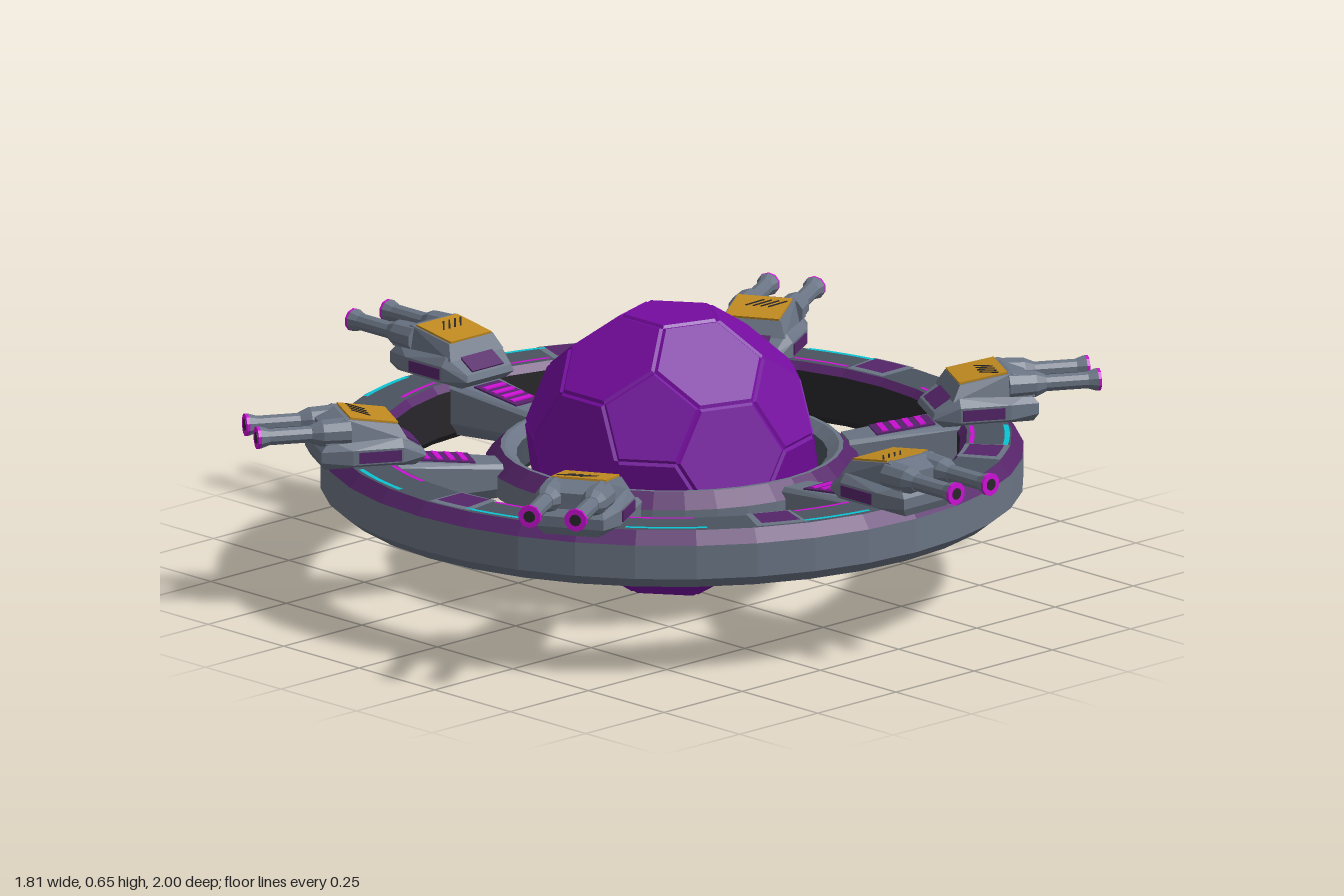
import * as THREE from 'three';
import { ConvexGeometry } from 'three/addons/geometries/ConvexGeometry.js';

const mat = (name, color, side = THREE.FrontSide) => {
  const m = new THREE.MeshStandardMaterial({ color, side });
  m.name = name;
  return m;
};
const V = (x, y, z) => new THREE.Vector3(x, y, z);

export function createModel() {
  const model = new THREE.Group();
  model.name = 'orbitalStation';
  const corePurple = mat('corePurple', 0x750c9f);
  const trimPurple = mat('trimPurple', 0x552469);
  const metal = mat('metalGrey', 0x6a7484);
  const darkMetal = mat('darkMetal', 0x4a535f);
  const black = mat('nearBlack', 0x28262a);
  const orange = mat('warningOrange', 0xc08a20);
  const cyan = mat('cyanLight', 0x08c4d4);
  const magenta = mat('magentaLight', 0xcc10d4);

  const add = (parent, name, geo, material) => {
    const m = new THREE.Mesh(geo, material);
    m.name = name;
    parent.add(m);
    return m;
  };
  const faceted = (geo) => {
    const g = geo.toNonIndexed();
    g.computeVertexNormals();
    return g;
  };
  // Band of a ring: profile runs up outside, inward on top, down inside
  const band = (name, pts, material) =>
    add(model, name, faceted(new THREE.LatheGeometry(pts.map((p) => new THREE.Vector2(...p)), 36)), material);
  const plate = (parent, name, w, h, d, x, y, z, material) => {
    const m = add(parent, name, new THREE.BoxGeometry(w, h, d), material);
    m.position.set(x, y, z);
    return m;
  };
  // Solid block from sections [z, y, halfWidth], mirrored in x
  const block = (parent, name, rows, material) =>
    add(parent, name, new ConvexGeometry(rows.flatMap(([z, y, w]) => [V(w, y, z), V(-w, y, z)])), material);

  // Core: truncated icosahedron with bevelled panels
  const ico = [V(0, 1, 0), V(0, -1, 0)];
  for (let k = 0; k < 5; k++) {
    for (const s of [1, -1]) {
      const a = (k * 2 * Math.PI) / 5 + (s < 0 ? Math.PI / 5 : 0);
      ico.push(V(Math.cos(a) * 2 / Math.sqrt(5), s / Math.sqrt(5), Math.sin(a) * 2 / Math.sqrt(5)));
    }
  }
  const near = (a, b) => a !== b && a.dot(b) > 0.4;
  const cut = (a, b) => a.clone().multiplyScalar(2).add(b).multiplyScalar(0.3984 / 3);
  const panels = ico.map((a) => ico.filter((b) => near(a, b)).map((b) => cut(a, b)));
  ico.forEach((a, i) => ico.forEach((b, j) => ico.forEach((c, k) => {
    if (i < j && j < k && near(a, b) && near(b, c) && near(a, c))
      panels.push([cut(a, b), cut(b, a), cut(b, c), cut(c, b), cut(c, a), cut(a, c)]);
  })));
  const tris = [];
  for (const pts of panels) {
    const c = pts.reduce((s, p) => s.add(p), V(0, 0, 0)).divideScalar(pts.length);
    const n = c.clone().normalize();
    const u = pts[0].clone().sub(c).normalize();
    const v = n.clone().cross(u);
    const angle = (p) => Math.atan2(p.clone().sub(c).dot(v), p.clone().sub(c).dot(u));
    pts.sort((p, q) => angle(p) - angle(q));
    const top = pts.map((p) => c.clone().lerp(p, 0.93));
    const low = pts.map((p) => p.clone().multiplyScalar(0.98));
    pts.forEach((_, i) => {
      const j = (i + 1) % pts.length;
      tris.push(c, top[i], top[j], low[i], low[j], top[j], low[i], top[j], top[i]);
    });
  }
  const coreGeo = new THREE.BufferGeometry().setFromPoints(tris);
  coreGeo.computeVertexNormals();
  add(model, 'core', coreGeo, corePurple).position.y = 0.325;

  // Outer ring
  band('outerRingWall', [[0.775, 0.217], [0.81, 0.245], [0.81, 0.325]], metal);
  band('outerRingTrim', [[0.81, 0.325], [0.783, 0.355]], trimPurple);
  band('outerRingDeck', [[0.783, 0.355], [0.68, 0.355]], darkMetal);
  band('outerRingInnerTrim', [[0.68, 0.355], [0.664, 0.338]], trimPurple);
  band('outerRingInnerWall', [[0.664, 0.338], [0.664, 0.235], [0.68, 0.217]], black);
  band('outerRingUnderside', [[0.68, 0.217], [0.775, 0.217]], darkMetal);

  // Inner ring around the core
  band('innerRingWall', [[0.4, 0.23], [0.43, 0.25], [0.43, 0.3]], metal);
  band('innerRingTrim', [[0.43, 0.3], [0.395, 0.335]], trimPurple);
  band('innerRingTop', [[0.395, 0.335], [0.385, 0.335], [0.358, 0.315]], metal);
  band('innerRingInside', [[0.358, 0.315], [0.358, 0.25], [0.375, 0.23], [0.4, 0.23]], darkMetal);

  // Flat arc on the ring deck, angles in degrees
  const arc = (name, r0, r1, mid, span, y, material) => {
    const rad = Math.PI / 180;
    const g = new THREE.RingGeometry(r0, r1, 8, 1, (mid - span / 2) * rad, span * rad);
    add(model, name, g.rotateX(-Math.PI / 2), material).position.y = y;
  };

  for (let i = 0; i < 6; i++) {
    const deg = 30 + i * 60;
    // Deck lights and hatches
    for (const s of [-1, 1]) {
      arc('cyanStrip', 0.765, 0.777, deg + s * 15, 14, 0.358, cyan);
      arc('magentaStrip', 0.686, 0.696, deg + s * 14, 12, 0.358, magenta);
    }
    arc('hatchFrame', 0.678, 0.782, deg + 35, 9, 0.358, metal);
    arc('hatch', 0.69, 0.77, deg + 35, 7, 0.361, trimPurple);

    const arm = new THREE.Group();
    arm.name = 'turretArm';
    arm.rotation.y = (i * Math.PI) / 3;
    model.add(arm);

    // Spoke with glowing ladder
    block(arm, 'spoke', [
      [0.41, 0.245, 0.03], [0.41, 0.27, 0.046], [0.41, 0.315, 0.046], [0.41, 0.325, 0.036],
      [0.68, 0.225, 0.045], [0.68, 0.26, 0.075], [0.68, 0.345, 0.075], [0.68, 0.355, 0.06],
    ], metal);
    const ladder = new THREE.Group();
    ladder.name = 'ladder';
    ladder.position.set(0, 0.341, 0.545);
    ladder.rotation.x = -Math.atan2(0.03, 0.27);
    arm.add(ladder);
    plate(ladder, 'ladderBed', 0.078, 0.006, 0.14, 0, 0, 0, trimPurple);
    for (let k = 0; k < 4; k++)
      plate(ladder, 'ladderRung', 0.064, 0.006, 0.014, 0, 0.003, -0.047 + k * 0.03, magenta);

    // Turret base
    block(arm, 'turretBase', [
      [0.625, 0.35, 0.07], [0.6, 0.37, 0.075], [0.605, 0.385, 0.07], [0.66, 0.42, 0.085],
      [0.66, 0.365, 0.1], [0.66, 0.4, 0.1], [0.78, 0.365, 0.1], [0.78, 0.4, 0.1],
      [0.84, 0.35, 0.065], [0.85, 0.37, 0.08], [0.85, 0.395, 0.08], [0.83, 0.42, 0.07],
    ], metal);
    const rear = plate(arm, 'rearPanel', 0.1, 0.006, 0.048, 0, 0.402, 0.63, trimPurple);
    rear.rotation.x = -Math.atan2(0.035, 0.055);
    for (const s of [-1, 1]) plate(arm, 'sidePanel', 0.006, 0.026, 0.1, s * 0.1, 0.382, 0.715, trimPurple);

    // Turret cap with warning plate
    block(arm, 'turretCap', [
      [0.645, 0.412, 0.085], [0.84, 0.412, 0.08], [0.665, 0.448, 0.07],
      [0.79, 0.468, 0.07], [0.84, 0.45, 0.065],
    ], metal);
    const cap = new THREE.Group();
    cap.name = 'warningPlate';
    cap.position.set(0, 0.458, 0.722);
    cap.rotation.x = -Math.atan2(0.02, 0.125);
    arm.add(cap);
    plate(cap, 'plate', 0.13, 0.008, 0.115, 0, 0, 0, orange);
    for (let k = 0; k < 4; k++)
      plate(cap, 'hazardStripe', 0.004, 0.002, 0.05, -0.04 + k * 0.018, 0.0045, 0.02, black).rotation.y = -0.75;

    // Twin barrels
    for (const s of [-1, 1]) {
      const barrel = new THREE.Group();
      barrel.name = 'barrel';
      barrel.position.set(s * 0.055, 0.435, 0);
      arm.add(barrel);
      const tube = (name, r0, r1, z0, z1, material) => {
        const g = new THREE.CylinderGeometry(r1, r0, z1 - z0, 10).rotateX(Math.PI / 2);
        add(barrel, name, faceted(g), material).position.z = (z0 + z1) / 2;
      };
      tube('sleeve', 0.035, 0.032, 0.78, 0.845, metal);
      tube('sleeveTaper', 0.032, 0.021, 0.845, 0.87, metal);
      tube('tube', 0.02, 0.02, 0.86, 0.98, metal);
      tube('muzzle', 0.02, 0.027, 0.97, 0.992, metal);
      tube('muzzleGlow', 0.027, 0.027, 0.992, 0.999, magenta);
      tube('bore', 0.014, 0.014, 0.99, 1.0, black);
    }
  }
  return model;
}
